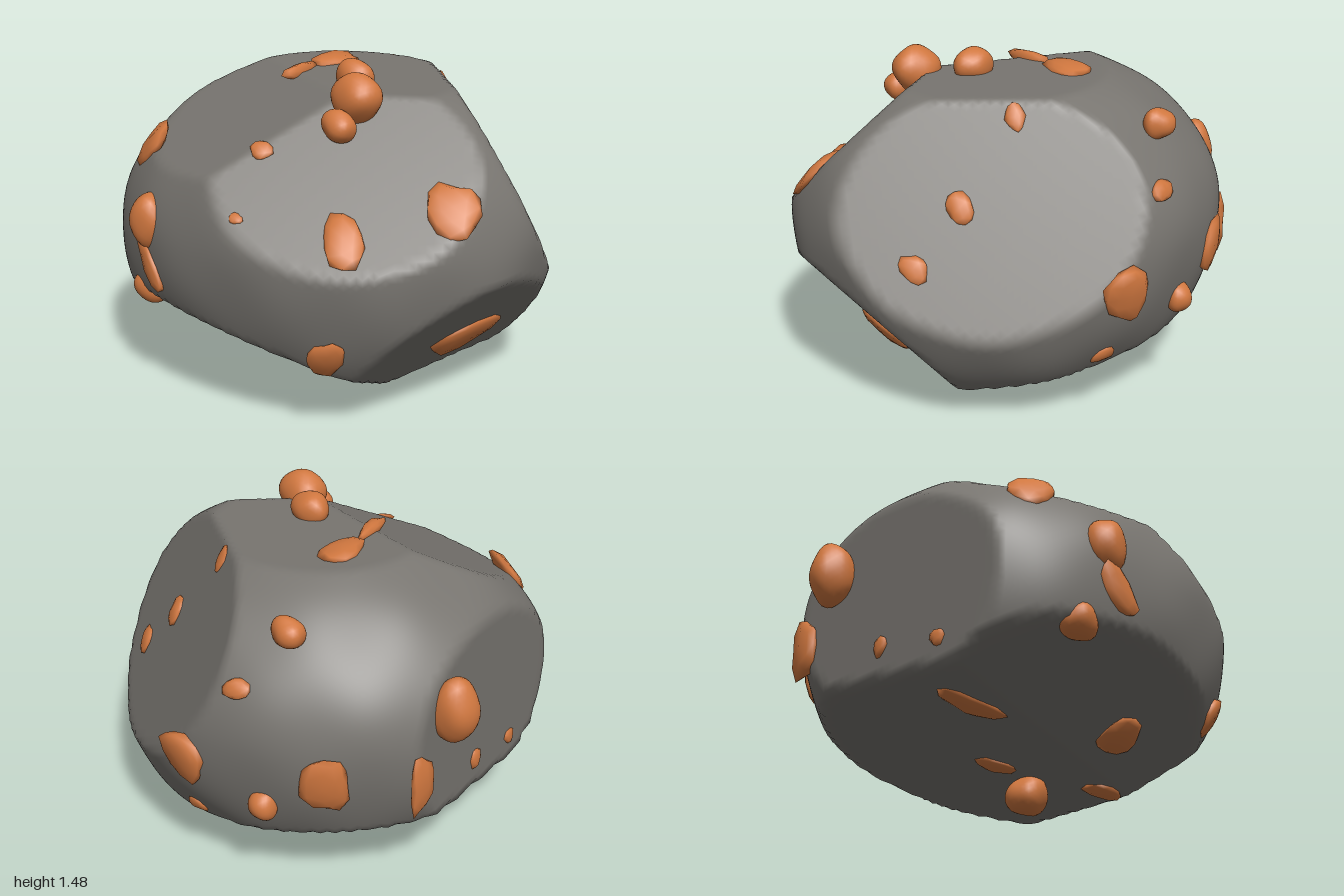
import * as THREE from 'three';
import { mergeVertices } from 'three/addons/utils/BufferGeometryUtils.js';

const CENTER = new THREE.Vector3(0.03, 0.75, 0);
const BULGE = new THREE.Vector3(-0.68, -0.31, 0.67).normalize();

// Ellipsoid radii: flatter above than below, a little wider towards -x and -z
const radii = d => new THREE.Vector3(
  d.x < 0 ? 1.03 : 0.97, d.y > 0 ? 0.735 : 0.9, d.z < 0 ? 0.95 : 0.915);

// Flat cuts through the boulder: normal and distance from the origin
const CUTS = [
  [0.02, 1, 0, 1.385],         // top
  [-0.99, 0, 0.13, 0.825],     // left side
  [0.49, 0.457, -0.742, 1.03], // upper back
  [0.478, 0.71, 0.514, 1.215], // upper front, +x
  [-0.1, 1, 0.47, 1.46],       // upper front, -x
  [0.75, -0.66, 0, 0.315],     // lower side, +x
  [-0.05, -1, 0.5, -0.015],    // underside, front
  [-0.175, -1, -0.07, -0.191]  // underside, back
].map(([x, y, z, d]) => {
  const n = new THREE.Vector3(x, y, z);
  const len = n.length();
  n.divideScalar(len);
  return { n, d: d / len - n.dot(CENTER) };
});

// Point and normal of the cut ellipsoid along a direction from its centre
function surface(dir) {
  const d = dir.clone().normalize();
  const r = radii(d);
  let t = 1 / d.clone().divide(r).length();
  t *= 1 + 0.008 * Math.sin(9 * d.x + 2) * Math.sin(8 * d.y) * Math.sin(10 * d.z + 1);
  t *= 1 + 0.11 * Math.max(0, d.dot(BULGE)) ** 6;
  let normal = d.clone().divide(r).divide(r).normalize();
  for (const cut of CUTS) {
    const facing = cut.n.dot(d);
    if (facing > 0 && cut.d / facing < t) {
      t = cut.d / facing;
      normal = cut.n;
    }
  }
  return { point: d.multiplyScalar(t).add(CENTER), normal };
}

// Smooth indexed sphere whose vertices are moved by a rule
function shapedSphere(detail, move) {
  let geo = new THREE.IcosahedronGeometry(1, detail);
  geo.deleteAttribute('uv');
  geo.deleteAttribute('normal');
  geo = mergeVertices(geo, 1e-4);
  const p = geo.attributes.position;
  const v = new THREE.Vector3();
  for (let i = 0; i < p.count; i++) {
    v.fromBufferAttribute(p, i);
    const q = move(v);
    p.setXYZ(i, q.x, q.y, q.z);
  }
  geo.computeVertexNormals();
  return geo;
}

// Irregular ore lump, different for each seed
const lump = (seed, rough, detail) => shapedSphere(detail, v => v.clone().multiplyScalar(
  1 + rough * Math.sin(3 * v.x + seed * 1.7) * Math.cos(2.6 * v.y + seed * 2.3)
    + rough * 0.6 * Math.sin(4 * v.z + 3 * v.x + seed)));

// Protruding nuggets: centre x, y, z, radii x, y, z
const NUGGETS = [
  [0.14, 1.41, 0.06, 0.095, 0.08, 0.075],
  [0.34, 1.38, 0.23, 0.11, 0.105, 0.1],
  [0.36, 1.28, 0.35, 0.08, 0.07, 0.065],
  [-0.9, 0.9, -0.21, 0.1, 0.145, 0.105],
  [-0.29, 0.82, 0.88, 0.09, 0.125, 0.085],
  [-0.39, 0.47, 0.81, 0.09, 0.08, 0.08],
  [0.17, 0.1, -0.11, 0.1, 0.095, 0.095],
  [-0.37, 1.25, -0.65, 0.08, 0.07, 0.06],
  [-0.38, 0.5, -0.83, 0.065, 0.07, 0.06]
];

// Shallow patches: x, y, z, half length, half width, roll
const PATCHES = [
  [-0.5, 1.07, 0.65, 0.11, 0.11, 0],
  [-0.23, 0.63, 0.84, 0.14, 0.065, -0.87],
  [0.25, 0.95, 0.82, 0.03, 0.025, 0],
  [0.15, 1.18, 0.6, 0.045, 0.045, 0],
  [0.63, 0.89, 0.57, 0.13, 0.09, -0.8],
  [0.87, 1.0, 0.18, 0.13, 0.11, -0.8],
  [0.6, 0.38, 0.64, 0.08, 0.1, -0.5],
  [0.2, 0.23, 0.46, 0.11, 0.11, 0],
  [0.42, 0.08, 0.15, 0.09, 0.07, 0],
  [-0.5, 0.24, 0.27, 0.17, 0.07, 0],
  [-0.03, 0.17, -0.12, 0.1, 0.06, 0.3],
  [0.7, 0.3, -0.1, 0.2, 0.12, -0.75],
  [-0.23, 1.4, -0.15, 0.09, 0.13, 0],
  [-0.18, 1.4, 0.11, 0.035, 0.12, 0.2],
  [0.22, 1.32, -0.44, 0.06, 0.04, 0],
  [0.5, 0.97, -0.46, 0.07, 0.06, 0.6],
  [0.73, 0.74, -0.46, 0.065, 0.055, 0.6],
  [-0.02, 0.65, -0.93, 0.11, 0.13, 0],
  [-0.62, 0.66, -0.72, 0.12, 0.14, 0.3],
  [-0.26, 1.03, -0.85, 0.05, 0.06, 0],
  [0.02, 0.32, -0.84, 0.06, 0.05, 0],
  [-0.87, 0.62, -0.4, 0.08, 0.15, 0],
  [-0.83, 0.48, 0.07, 0.035, 0.05, 0],
  [-0.79, 0.42, 0.4, 0.04, 0.04, 0]
];

export function createModel() {
  const model = new THREE.Group();
  model.name = 'oreBoulder';
  const stone = new THREE.MeshStandardMaterial({ color: 0x787570 });
  const ore = new THREE.MeshStandardMaterial({ color: 0xd0773f });

  // Boulder body
  const boulder = new THREE.Mesh(shapedSphere(32, v => surface(v).point), stone);
  boulder.name = 'boulder';
  model.add(boulder);

  // Round nuggets
  NUGGETS.forEach(([x, y, z, rx, ry, rz], i) => {
    const mesh = new THREE.Mesh(lump(i, 0.07, 4), ore);
    mesh.name = 'oreNugget';
    mesh.position.set(x, y, z);
    mesh.scale.set(rx, ry, rz);
    model.add(mesh);
  });

  // Embedded patches lie flat on the stone
  const forward = new THREE.Vector3(0, 0, 1);
  PATCHES.forEach(([x, y, z, length, width, roll], i) => {
    const { point, normal } = surface(new THREE.Vector3(x, y, z).sub(CENTER));
    const mesh = new THREE.Mesh(lump(i + 20, 0.16, 1), ore);
    mesh.name = 'orePatch';
    mesh.position.copy(point);
    mesh.quaternion.setFromUnitVectors(forward, normal);
    mesh.rotateZ(roll);
    mesh.scale.set(length, width, Math.min(0.035, width * 0.4));
    model.add(mesh);
  });
  return model;
}
